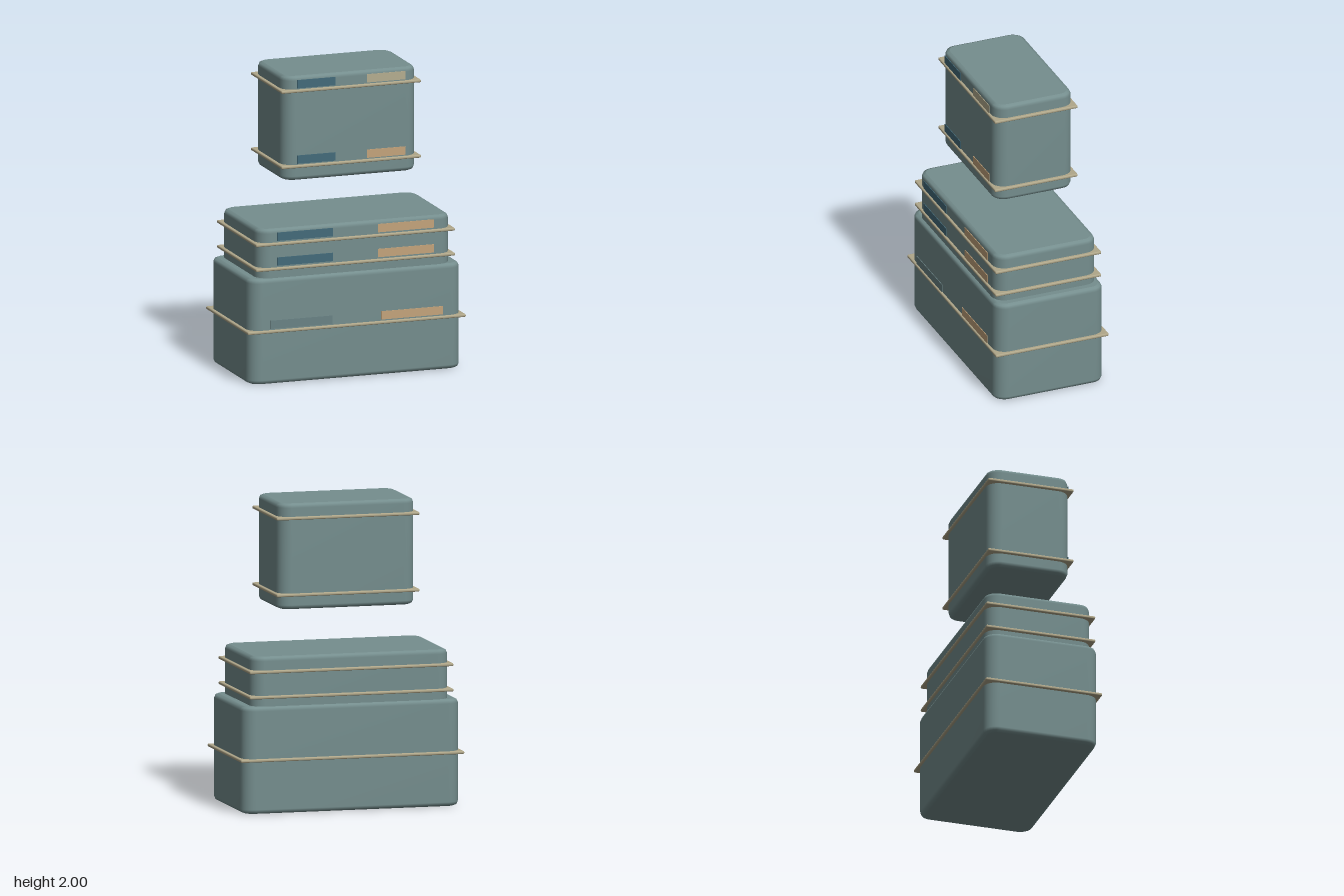
import * as THREE from 'three';
import { RoundedBoxGeometry } from 'three/addons/geometries/RoundedBoxGeometry.js';

const mat = (name, color) => new THREE.MeshStandardMaterial({ name, color });

// Points of a rounded rectangle, counter-clockwise in (x, y)
function outline(hx, hy, r, steps = 6) {
  const pts = [];
  [[1, 1], [-1, 1], [-1, -1], [1, -1]].forEach(([sx, sy], q) => {
    for (let i = 0; i <= steps; i++) {
      const a = (q + i / steps) * Math.PI / 2;
      pts.push(new THREE.Vector2(sx * (hx - r) + r * Math.cos(a), sy * (hy - r) + r * Math.sin(a)));
    }
  });
  return pts;
}

// Smooth wall with softened top and bottom rims, built from stacked loops
function wallGeometry(hx, hz, y0, y1, r, bevel) {
  const k = bevel * 0.293;
  const levels = [[y0, bevel], [y0 + k, k], [y0 + bevel, 0], [y1 - bevel, 0], [y1 - k, k], [y1, bevel]];
  const pos = [], index = [];
  let n = 0;
  for (const [y, inset] of levels) {
    const loop = outline(hx - inset, hz - inset, r - inset);
    n = loop.length;
    for (const p of loop) pos.push(p.x, y, -p.y);
  }
  for (let j = 0; j < levels.length - 1; j++) {
    for (let i = 0; i < n; i++) {
      const a = j * n + i, b = j * n + (i + 1) % n;
      index.push(a, b, b + n, a, b + n, a + n);
    }
  }
  const g = new THREE.BufferGeometry();
  g.setAttribute('position', new THREE.Float32BufferAttribute(pos, 3));
  g.setIndex(index);
  g.computeVertexNormals();
  return g;
}

export function createModel() {
  const model = new THREE.Group();
  const body = mat('slate teal', 0x758e8e);
  const trim = mat('stone beige', 0xb0a78a);
  const blue = mat('deep blue', 0x446b7a);
  const tan = mat('warm tan', 0xc4a47c);
  const pale = mat('pale sand', 0xb5ad90);
  const grey = mat('muted teal', 0x6a8385);

  function add(parent, name, geometry, material, y = 0) {
    const m = new THREE.Mesh(geometry, material);
    m.name = name;
    m.position.y = y;
    parent.add(m);
    return m;
  }

  // One block: walls, flat caps, projecting ledges and front panels
  function block(name, { hx, hz, y0, y1, ledges, panels, panelX }) {
    const g = new THREE.Group();
    g.name = name;
    const r = 0.085, bevel = 0.028;
    add(g, 'walls', wallGeometry(hx, hz, y0, y1, r, bevel), body);
    const cap = new THREE.ShapeGeometry(new THREE.Shape(outline(hx - bevel, hz - bevel, r - bevel)));
    add(g, 'roof', cap, body, y1).rotation.x = -Math.PI / 2;
    add(g, 'underside', cap, body, y0).rotation.x = Math.PI / 2;
    for (const y of ledges) {
      add(g, 'ledge', new RoundedBoxGeometry(2 * hx + 0.04, 0.02, 2 * hz + 0.03, 2, 0.008), trim, y);
    }
    // Thin panels just in front of the wall
    for (const [y, left, right] of panels) {
      [[-1, left], [1, right]].forEach(([side, material]) => {
        const [a, b] = panelX;
        const p = add(g, 'frontPanel', new THREE.BoxGeometry(b - a, 0.055, 0.004), material, y);
        p.position.x = side * (a + b) / 2;
        p.position.z = hz + 0.011;
      });
    }
    model.add(g);
  }

  block('lowerBlock', {
    hx: 0.73, hz: 0.38, y0: 0, y1: 0.698, ledges: [0.35],
    panels: [[0.398, grey, tan]], panelX: [0.168, 0.593],
  });
  // The middle block is sunk into the lower one
  block('middleBlock', {
    hx: 0.664, hz: 0.355, y0: 0.33, y1: 1.02, ledges: [0.425, 0.59, 0.757, 0.922],
    panels: [[0.807, blue, tan], [0.972, blue, tan]], panelX: [0.155, 0.538],
  });
  block('upperBlock', {
    hx: 0.46, hz: 0.275, y0: 1.31, y1: 2, ledges: [1.405, 1.905],
    panels: [[1.452, blue, tan], [1.952, blue, pale]], panelX: [0.108, 0.372],
  });
  return model;
}
